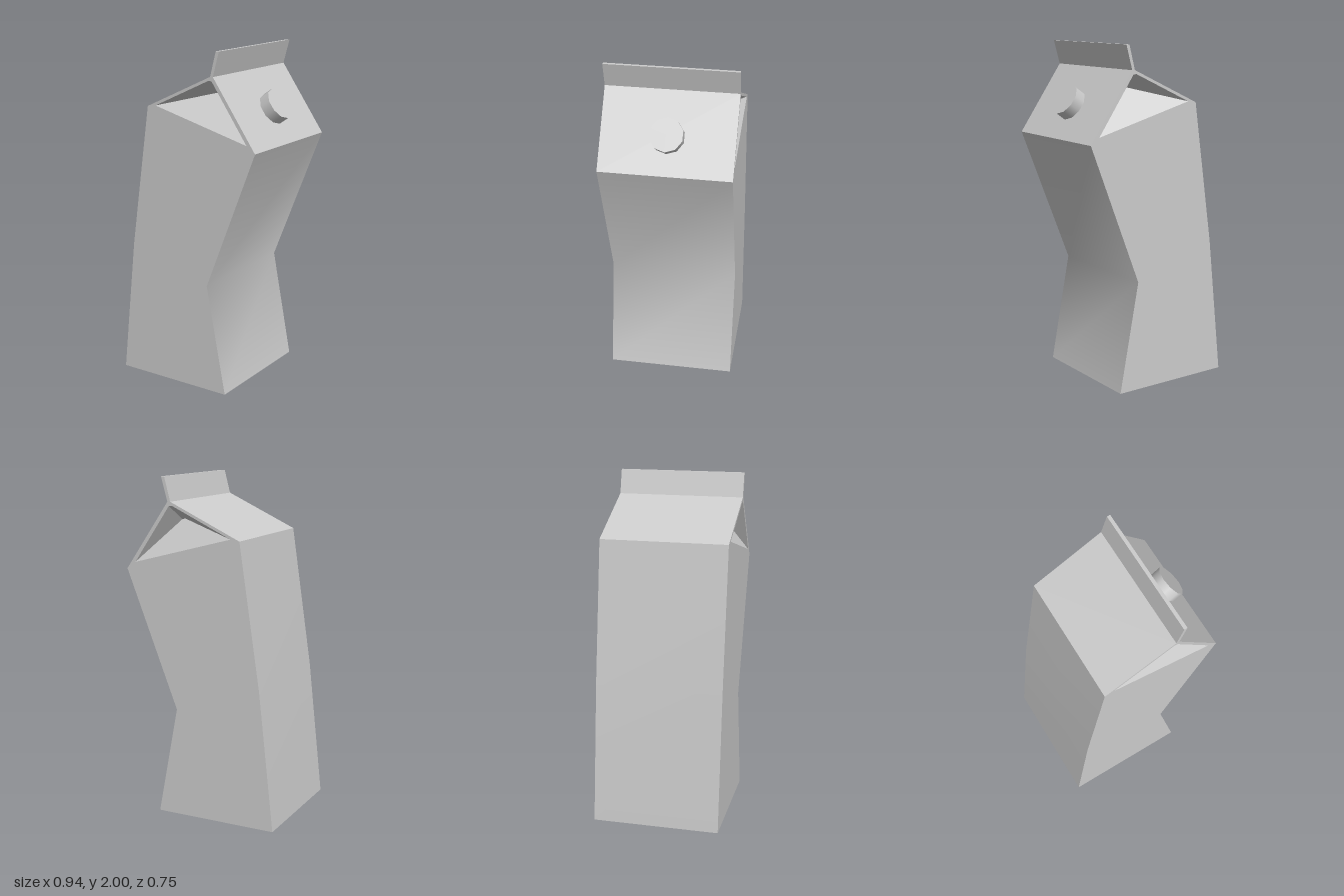
import * as THREE from 'three';

const HALF = 0.375; // half depth
const INNER = 0.25; // z of the folded-in gable point
const grey = new THREE.MeshStandardMaterial({ color: 0xcccccc });

// Outline, counter-clockwise seen from +z
const BL = [-0.47, 0], BR = [0.275, 0], WAIST = [0.15, 0.65], SHOULDER_R = [0.47, 1.465];
const RIDGE_R = [0.196, 1.86], TIP_R = [0.235, 2], TIP_L = [0.215, 2], RIDGE_L = [0.178, 1.86];
const SHOULDER_L = [-0.255, 1.66], BEND = [-0.38, 0.82];
const OUTLINE = [BL, BR, WAIST, SHOULDER_R, RIDGE_R, TIP_R, TIP_L, RIDGE_L, SHOULDER_L, BEND];

// Gable opening and the inner fold
const L = [-0.2, 1.668], R = [0.415, 1.505], T2 = [0.187, 1.836], T1 = [0.168, 1.838];
const B1 = [0.152, 1.757], B2 = [0.17, 1.752];

function geometry(points, index) {
  const g = new THREE.BufferGeometry();
  g.setAttribute('position', new THREE.Float32BufferAttribute(points.flat(), 3));
  g.setIndex(index);
  g.computeVertexNormals();
  return g;
}

// Sheet across the full depth along a line of profile points, smooth along its bends
function sheet(line) {
  const pts = line.flatMap(([x, y]) => [[x, y, HALF], [x, y, -HALF]]);
  const index = [];
  for (let i = 0; i < line.length - 1; i++) {
    const a = 2 * i;
    index.push(a, a + 1, a + 3, a, a + 3, a + 2);
  }
  return geometry(pts, index);
}

// Flat convex polygon; side -1 mirrors it to the back and flips its winding
function polygon(corners, side) {
  const pts = corners.map(([x, y, z]) => [x, y, z * side]);
  if (side < 0) pts.reverse();
  const index = [];
  for (let i = 1; i < pts.length - 1; i++) index.push(0, i, i + 1);
  return geometry(pts, index);
}

// End wall with the gable opening cut out
function endWall(side) {
  const vec = (p) => new THREE.Vector2(...p);
  const shape = new THREE.Shape(OUTLINE.map(vec));
  shape.holes.push(new THREE.Path([L, T1, T2, R].map(vec)));
  const g = new THREE.ShapeGeometry(shape);
  if (side < 0) g.rotateY(Math.PI).scale(-1, 1, 1);
  if (side < 0) g.setIndex(Array.from(g.index.array).reverse());
  g.translate(0, 0, HALF * side);
  g.computeVertexNormals();
  return g;
}

export function createModel() {
  const carton = new THREE.Group();
  carton.name = 'carton';
  const add = (name, geo, parent = carton) => {
    const mesh = new THREE.Mesh(geo, grey);
    mesh.name = name;
    parent.add(mesh);
    return mesh;
  };

  // Walls, roof and sealed top fin
  add('base', sheet([BL, BR]));
  add('rightWall', sheet([BR, WAIST, SHOULDER_R]));
  add('rightRoof', sheet([SHOULDER_R, RIDGE_R]));
  add('finRight', sheet([RIDGE_R, TIP_R]));
  add('finTop', sheet([TIP_R, TIP_L]));
  add('finLeft', sheet([TIP_L, RIDGE_L]));
  add('leftRoof', sheet([RIDGE_L, SHOULDER_L]));
  add('leftWall', sheet([SHOULDER_L, BEND, BL]));

  // End walls and their folded-in gables
  for (const [side, label] of [[1, 'front'], [-1, 'back']]) {
    add(label + 'Wall', endWall(side));
    const gable = new THREE.Group();
    gable.name = label + 'Gable';
    carton.add(gable);
    const out = (p) => [...p, HALF], deep = (p) => [...p, INNER];
    add('flap', polygon([out(L), out(R), deep(B2), deep(B1)], side), gable);
    add('leftFold', polygon([out(L), deep(B1), out(T1)], side), gable);
    add('seam', polygon([out(T1), deep(B1), deep(B2), out(T2)], side), gable);
    add('rightFold', polygon([out(T2), deep(B2), out(R)], side), gable);
  }

  // Screw cap standing square on the right roof
  const slope = Math.atan2(SHOULDER_R[1] - RIDGE_R[1], SHOULDER_R[0] - RIDGE_R[0]);
  const cap = add('cap', new THREE.CylinderGeometry(0.096, 0.096, 0.07, 10).rotateY(Math.PI / 2));
  cap.rotation.z = slope;
  cap.position.set(0.369, 1.664, 0);

  return carton;
}
